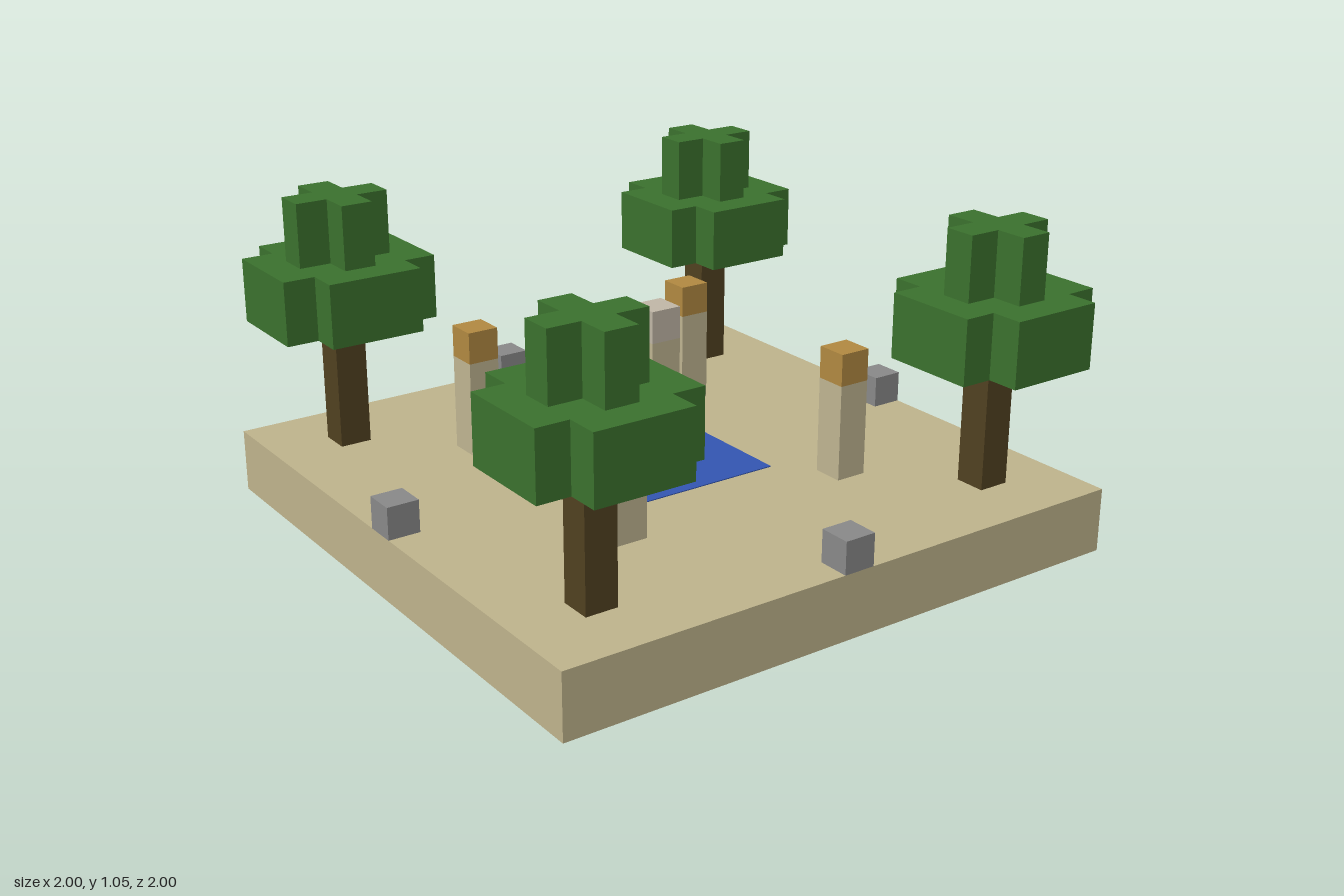
import * as THREE from 'three';

const U = 2 / 19; // one block

export function createModel() {
  const root = new THREE.Group();
  root.name = 'oasisCourtyard';

  const mat = (name, color) => {
    const m = new THREE.MeshStandardMaterial({ color });
    m.name = name;
    return m;
  };
  const sand = mat('sand', 0xbdb28b);
  const pillarStone = mat('pillarStone', 0xbdb390);
  const paleStone = mat('paleStone', 0xbfb5a5);
  const amber = mat('amber', 0xb08840);
  const grey = mat('grey', 0x888888);
  const water = mat('water', 0x3355b0);
  const bark = mat('bark', 0x504020);
  const leaf = mat('leaf', 0x3a702d);

  // Box sized in blocks, standing on level y
  const block = (parent, name, m, w, h, d, x, y, z) => {
    const mesh = new THREE.Mesh(new THREE.BoxGeometry(w * U, h * U, d * U), m);
    mesh.name = name;
    mesh.position.set(x * U, (y + h / 2) * U, z * U);
    parent.add(mesh);
  };

  // Extruded plus shape: half length a, half arm width b
  const plus = (parent, name, a, b, h, y) => {
    const pts = [[a, -b], [a, b], [b, b], [b, a], [-b, a], [-b, b],
      [-a, b], [-a, -b], [-b, -b], [-b, -a], [b, -a], [b, -b]];
    const shape = new THREE.Shape(pts.map(([x, z]) => new THREE.Vector2(x * U, z * U)));
    const geo = new THREE.ExtrudeGeometry(shape, { depth: h * U, bevelEnabled: false });
    geo.rotateX(-Math.PI / 2);
    const mesh = new THREE.Mesh(geo, leaf);
    mesh.name = name;
    mesh.position.y = y * U;
    parent.add(mesh);
  };

  // Ground and flush pool
  block(root, 'ground', sand, 19, 2, 19, 0, 0, 0);
  block(root, 'pool', water, 5, 0.03, 5, 0, 2, 0);

  // Central fountain column
  block(root, 'fountainColumn', pillarStone, 1, 4, 1, 0, 2, 0);
  block(root, 'fountainCap', paleStone, 1, 1, 1, 0, 6, 0);

  // Trees and lamp pillars in each corner
  for (const sx of [-1, 1]) {
    for (const sz of [-1, 1]) {
      const tree = new THREE.Group();
      tree.name = 'tree';
      tree.position.set(sx * 7 * U, 0, sz * 7 * U);
      block(tree, 'trunk', bark, 1, 4, 1, 0, 2, 0);
      plus(tree, 'lowerLeaves', 2.5, 1.5, 2, 6);
      plus(tree, 'upperLeaves', 1.5, 0.5, 2, 8);
      root.add(tree);

      const lamp = new THREE.Group();
      lamp.name = 'lampPillar';
      lamp.position.set(sx * 4 * U, 0, sz * 4 * U);
      block(lamp, 'pillar', pillarStone, 1, 3, 1, 0, 2, 0);
      block(lamp, 'lamp', amber, 1, 1, 1, 0, 5, 0);
      root.add(lamp);
    }
  }

  // Edge stones
  for (const [x, z] of [[9, 0], [-9, 0], [0, 9], [0, -9]]) {
    block(root, 'edgeStone', grey, 1, 1, 1, x, 2, z);
  }
  return root;
}
